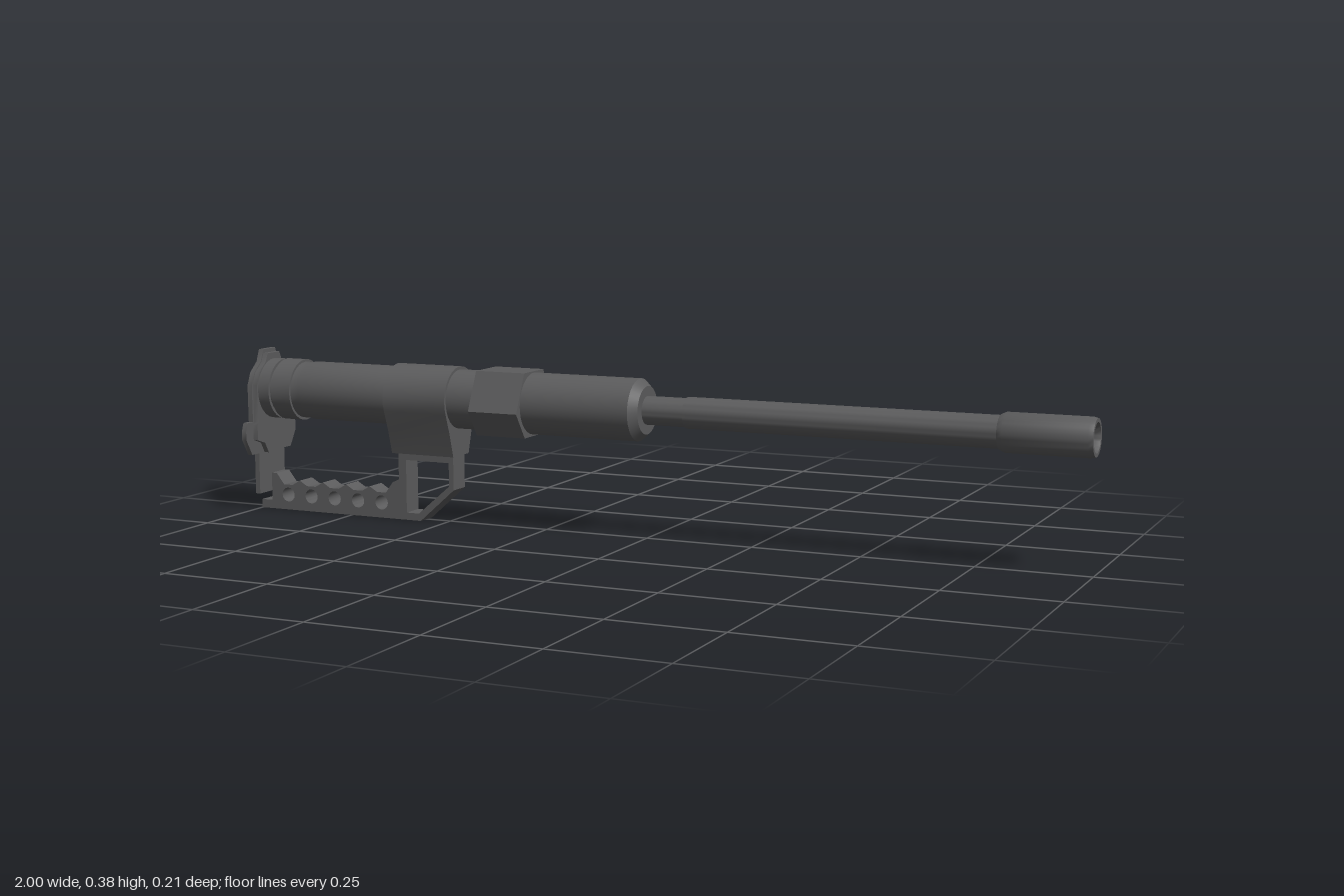
import * as THREE from 'three';
import { toCreasedNormals } from 'three/addons/utils/BufferGeometryUtils.js';

const AXIS_Y = 0.288, AXIS_Z = 0.003;

export function createModel() {
  const group = new THREE.Group();
  const metal = new THREE.MeshStandardMaterial({ color: 0x5c5c5d });
  metal.name = 'gunmetal';

  const add = (name, geometry) => {
    const mesh = new THREE.Mesh(toCreasedNormals(geometry, 0.55), metal);
    mesh.name = name;
    group.add(mesh);
    return mesh;
  };

  // Turned part along x; profile is a list of [x, radius]
  const turned = (name, profile) => {
    const g = new THREE.LatheGeometry(profile.map(([x, r]) => new THREE.Vector2(r, x)), 32);
    g.rotateZ(-Math.PI / 2);
    g.translate(0, AXIS_Y, AXIS_Z);
    return add(name, g);
  };

  // Cross-section in (z, y), mirrored from its right half, swept from x0 to x1
  const section = (name, half, x0, x1, z = 0) => {
    const pts = [...half, ...half.slice().reverse().map(([a, b]) => [-a, b])];
    const shape = new THREE.Shape(pts.map(([a, b]) => new THREE.Vector2(a, b)));
    const g = new THREE.ExtrudeGeometry(shape, { depth: x1 - x0, bevelEnabled: false });
    g.rotateY(-Math.PI / 2);
    g.translate(x1, 0, z);
    return add(name, g);
  };

  // Main tube with rear grooves and chamfered nose
  turned('bodyTube', [
    [-0.985, 0], [-0.985, 0.062], [-0.972, 0.062], [-0.972, 0.071], [-0.943, 0.071],
    [-0.943, 0.064], [-0.935, 0.064], [-0.935, 0.072], [-0.885, 0.072],
    [-0.885, 0.066], [-0.865, 0.066], [-0.855, 0.068], [-0.63, 0.068],
    [-0.4, 0.068], [-0.28, 0.07], [-0.015, 0.07], [0.003, 0.054], [0.003, 0],
  ]);

  // Long barrel and hollow muzzle
  turned('barrel', [[-0.02, 0], [-0.02, 0.032], [0.1, 0.032], [0.1, 0.035], [0.805, 0.035], [0.805, 0]]);
  turned('muzzle', [
    [0.8, 0], [0.8, 0.037], [0.812, 0.0425], [0.99, 0.0425], [1, 0.04],
    [1, 0.032], [0.99, 0.029], [0.83, 0.029], [0.83, 0],
  ]);

  // Six-sided collar
  section('hexCollar', [[0.047, 0.214], [0.088, 0.273], [0.047, 0.361]], -0.4, -0.278, AXIS_Z);

  // Receiver: rounded top tapering down to the grip
  const receiver = [[0.036, 0.157], [0.052, 0.212]];
  for (let i = 0; i <= 8; i++) {
    const a = -0.4 + (Math.PI / 2 - 0.05 + 0.4) * i / 8;
    receiver.push([0.075 * Math.cos(a), AXIS_Y + 0.075 * Math.sin(a)]);
  }
  section('receiver', receiver, -0.63, -0.468, AXIS_Z);

  // Rear plate with side ears, plus its thicker inner layer
  section('rearPlate', [
    [0.053, 0.038], [0.053, 0.135], [0.081, 0.135], [0.104, 0.173], [0.104, 0.194],
    [0.097, 0.213], [0.075, 0.213], [0.076, 0.3], [0.063, 0.33], [0.036, 0.353], [0.025, 0.381],
  ], -1, -0.988);
  section('rearPlateRib', [
    [0.03, 0.135], [0.045, 0.16], [0.074, 0.17], [0.074, 0.206], [0.07, 0.213], [0.072, 0.3],
    [0.06, 0.33], [0.034, 0.352], [0.024, 0.372],
  ], -0.989, -0.976);

  // Grip rail with finger scallops and trigger guard in one outline
  const holeXs = [0, 1, 2, 3, 4].map((i) => -0.925 + i * 0.0643);
  const outline = [[-1, 0.004], [-0.563, 0.004], [-0.475, 0.082], [-0.475, 0.165], [-0.62, 0.165],
    [-0.62, 0.098], [-0.637, 0.09]];
  for (const x of holeXs.slice().reverse()) {
    outline.push([x + 0.012, 0.064], [x - 0.012, 0.064], [x - 0.032, x < -0.9 ? 0.09 : 0.076]);
  }
  outline.push([-0.971, 0.09], [-0.971, 0.024], [-1, 0.024]);
  const toVectors = (pts) => pts.map(([x, y]) => new THREE.Vector2(x, y));
  const grip = new THREE.Shape(toVectors(outline));
  grip.holes.push(new THREE.Path(toVectors([
    [-0.6, 0.145], [-0.487, 0.145], [-0.487, 0.09], [-0.568, 0.021], [-0.6, 0.021],
  ])));
  for (const x of holeXs) {
    grip.holes.push(new THREE.Path().absarc(x, 0.04, 0.017, 0, Math.PI * 2, true));
  }
  const gripGeometry = new THREE.ExtrudeGeometry(grip, { depth: 0.053, bevelEnabled: false, curveSegments: 8 });
  gripGeometry.translate(0, -0.004, -0.0255);
  add('gripAndTriggerGuard', gripGeometry);

  return group;
}
